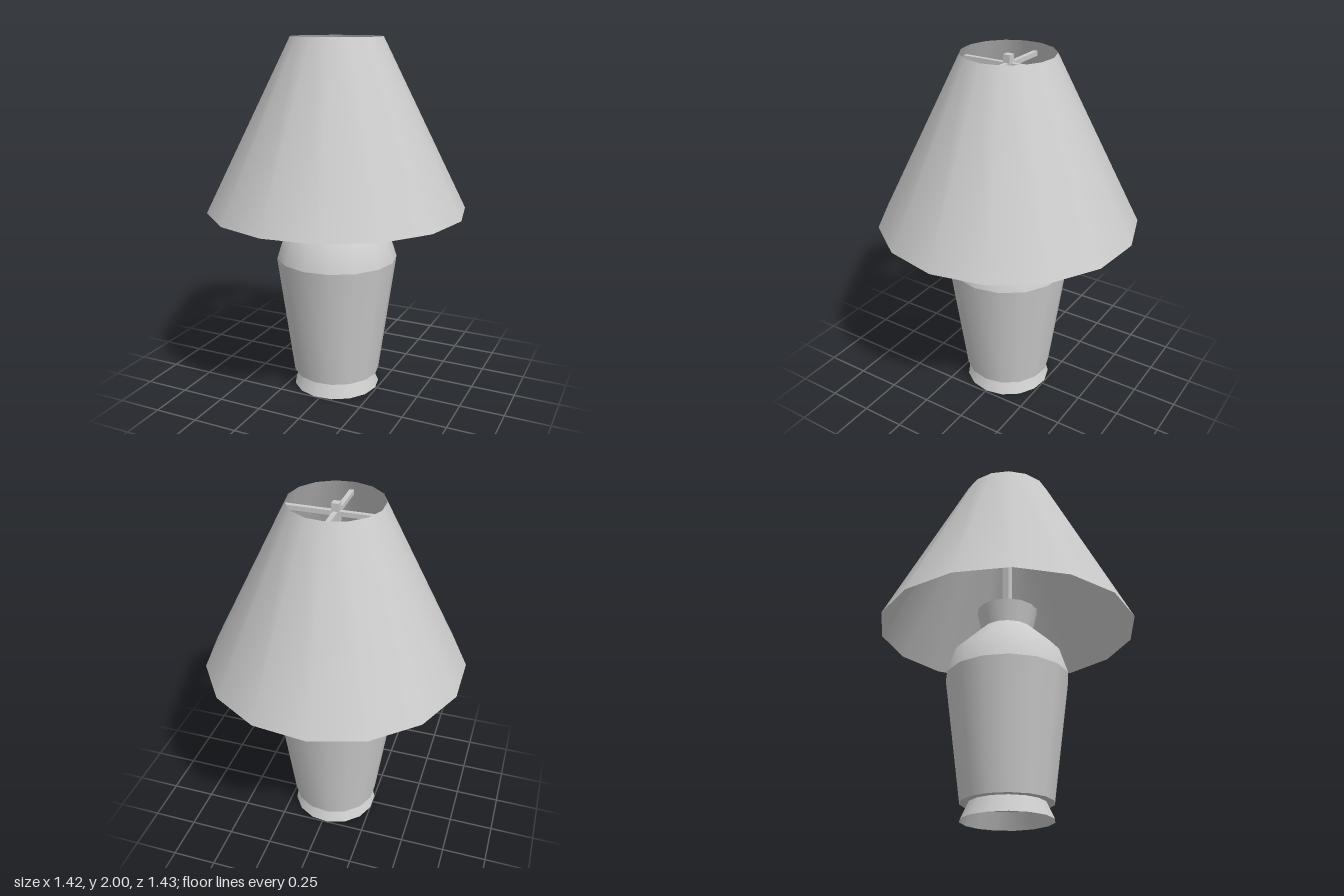
import * as THREE from 'three';

const SIDES = 15;

export function createModel() {
  const group = new THREE.Group();
  const material = new THREE.MeshStandardMaterial({ color: 0xcccccc, side: THREE.DoubleSide });

  function add(name, geometry, x = 0, y = 0, z = 0) {
    const mesh = new THREE.Mesh(geometry, material);
    mesh.name = name;
    mesh.position.set(x, y, z);
    group.add(mesh);
  }

  // Turned part from [radius, height] pairs, listed bottom to top, with a corner on +x
  function turned(name, profile) {
    const points = profile.map(([r, y]) => new THREE.Vector2(r, y));
    add(name, new THREE.LatheGeometry(points, SIDES, Math.PI / 2));
  }

  // Hollow foot and vase; separate bands keep the edges between them sharp
  turned('foot', [[0.248, 0], [0.205, 0.09]]);
  turned('vaseBottom', [[0, 0.09], [0.248, 0.09]]);
  turned('vaseBody', [[0.248, 0.09], [0.342, 0.78]]);
  turned('vaseShoulder', [[0.342, 0.78], [0.296, 0.925], [0.145, 1.07]]);
  turned('vaseNeck', [[0.145, 1.07], [0.172, 1.19]]);
  turned('vaseTop', [[0.172, 1.19], [0, 1.19]]);

  // Open lampshade
  turned('shade', [[0.72, 1.065], [0.25, 2]]);

  // Centre rod and the four spokes that carry the shade
  add('rod', new THREE.BoxGeometry(0.04, 0.8, 0.04), 0, 1.59, 0);
  for (let i = 0; i < 4; i++) {
    const spoke = new THREE.BoxGeometry(0.25, 0.025, 0.025);
    spoke.translate(0.145, 0, 0).rotateY(i * Math.PI / 2);
    add('spoke', spoke, 0, 1.935, 0);
  }

  // The odd-sided outline reaches further on +x, so shift it to centre
  group.children.forEach((mesh) => { mesh.position.x -= 0.008; });
  return group;
}
